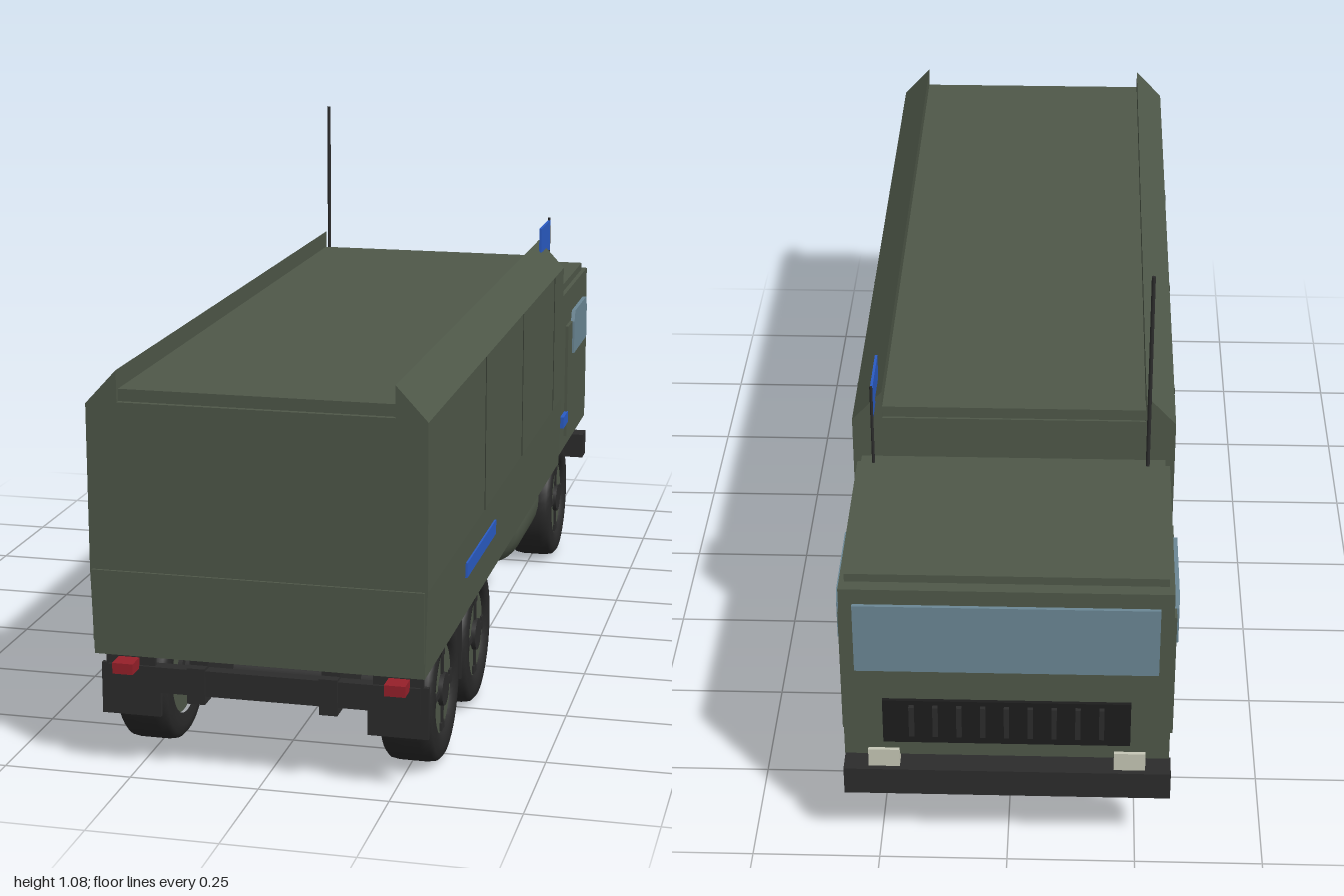
import * as THREE from 'three';

const mat = (name, color) => new THREE.MeshStandardMaterial({ name, color });

export function createModel() {
  const truck = new THREE.Group();
  truck.name = 'truck';

  const green = mat('olive green', 0x4f5849);
  const seamGreen = mat('seam green', 0x373d33);
  const dark = mat('chassis black', 0x2c2c2c);
  const tyreMat = mat('tyre rubber', 0x292929);
  const black = mat('grille black', 0x1d1d1d);
  const blue = mat('marking blue', 0x2a5bc4);
  const glass = mat('window glass', 0x6b8795);
  const red = mat('tail lamp red', 0x96202a);
  const cream = mat('headlamp cream', 0xc6c7b6);

  const add = (name, geometry, material, parent = truck) => {
    const m = new THREE.Mesh(geometry, material);
    m.name = name;
    parent.add(m);
    return m;
  };
  // box given by its minimum and maximum on each axis
  const box = (name, material, x0, x1, y0, y1, z0, z1, parent = truck) => {
    const m = add(name, new THREE.BoxGeometry(x1 - x0, y1 - y0, z1 - z0), material, parent);
    m.position.set((x0 + x1) / 2, (y0 + y1) / 2, (z0 + z1) / 2);
    return m;
  };
  // the same box on both sides of the truck
  const pair = (name, material, x0, x1, ...rest) => {
    box(name, material, x0, x1, ...rest);
    box(name, material, -x1, -x0, ...rest);
  };
  const polygon = pts => new THREE.Shape(pts.map(p => new THREE.Vector2(...p)));
  const extrude = (shape, depth) =>
    new THREE.ExtrudeGeometry(shape, { depth, bevelEnabled: false });

  // cargo body: one cross-section with raised, bevelled roof edges
  const half = [[0.315, 0.24], [0.32, 0.405], [0.32, 0.72], [0.26, 0.785], [0.26, 0.725]];
  const section = [...half, ...half.map(([x, y]) => [-x, y]).reverse()];
  add('cargoBody', extrude(polygon(section), 1.53), green).position.z = -0.535;
  box('cargoRoof', green, -0.26, 0.26, 0.72, 0.748, -0.53, 0.985);
  box('tailgate', green, -0.315, 0.315, 0.27, 0.405, 0.99, 1.0);
  for (const z of [-0.4, 0.02, 0.45])
    pair('panelSeam', seamGreen, 0.319, 0.321, 0.405, 0.72, z - 0.002, z + 0.002);
  pair('bodyStripe', blue, 0.314, 0.322, 0.32, 0.35, 0.33, 0.635);
  pair('intakePlate', black, 0.25, 0.312, 0.25, 0.465, -0.546, -0.534);

  // cab
  box('cab', green, -0.31, 0.31, 0.25, 0.638, -0.985, -0.56);
  box('cabRoof', green, -0.3, 0.3, 0.638, 0.655, -0.96, -0.565);
  box('windscreen', glass, -0.285, 0.285, 0.455, 0.605, -0.992, -0.984);
  pair('door', green, 0.309, 0.317, 0.28, 0.555, -0.945, -0.645);
  pair('cabStripe', blue, 0.309, 0.319, 0.315, 0.343, -0.65, -0.583);
  const pane = polygon([[-0.915, 0.475], [-0.71, 0.475], [-0.71, 0.555],
    [-0.722, 0.58], [-0.903, 0.58], [-0.915, 0.555]].map(([z, y]) => [-z, y]));
  for (const x of [0.313, -0.322]) {
    const w = add('doorWindow', extrude(pane, 0.009), glass);
    w.rotation.y = Math.PI / 2;
    w.position.x = x;
  }

  // grille with upright slats, headlamps and bumper
  box('grille', black, -0.235, 0.235, 0.285, 0.385, -0.992, -0.984);
  for (let i = 0; i < 9; i++) {
    const x = -0.18 + i * 0.045;
    box('grilleSlat', dark, x - 0.005, x + 0.005, 0.305, 0.375, -1.0, -0.99);
  }
  pair('headlamp', cream, 0.205, 0.265, 0.225, 0.265, -0.992, -0.965);
  box('bumper', dark, -0.315, 0.315, 0.15, 0.21, -0.985, -0.935);
  pair('bumperBracket', dark, 0.11, 0.145, 0.155, 0.2, -0.94, -0.87);

  // chassis
  pair('chassisRail', dark, 0.11, 0.145, 0.145, 0.215, -0.88, 0.97);
  box('rearCrossMember', dark, -0.3, 0.3, 0.16, 0.21, 0.94, 0.965);
  for (const z of [-0.84, -0.3, 0.1, 0.6])
    box('crossMember', dark, -0.13, 0.13, 0.16, 0.205, z - 0.018, z + 0.018);
  pair('bodyMount', dark, 0.11, 0.145, 0.2, 0.245, -0.53, 0.95);
  pair('cabMount', dark, 0.11, 0.145, 0.2, 0.28, -0.6, -0.53);
  pair('mudFlap', dark, 0.2, 0.315, 0.11, 0.21, 0.95, 0.96);
  pair('mudFlapHanger', dark, 0.21, 0.305, 0.2, 0.245, 0.95, 0.96);
  pair('middleFlap', dark, 0.205, 0.31, 0.11, 0.24, 0.625, 0.631);
  pair('tailLamp', red, 0.24, 0.28, 0.204, 0.225, 0.955, 1.0);

  // rounded fuel tanks slung beneath the body
  const tankProfile = [[0, -0.125], [0.07, -0.125], [0.088, -0.117], [0.1, -0.095],
    [0.1, 0.095], [0.088, 0.117], [0.07, 0.125], [0, 0.125]].map(p => new THREE.Vector2(...p));
  const tankGeo = new THREE.LatheGeometry(tankProfile, 32);
  tankGeo.rotateX(Math.PI / 2).scale(0.82, 1, 1);
  for (const s of [-1, 1])
    add('fuelTank', tankGeo, green).position.set(s * 0.232, 0.23, -0.16);

  // wheels: lathed tyre, green disc, dark hub and four lugs, facing +x
  const tyreProfile = [[0.088, -0.048], [0.11, -0.052], [0.128, -0.05], [0.137, -0.042],
    [0.14, -0.025], [0.14, 0.025], [0.137, 0.042], [0.128, 0.05], [0.11, 0.052],
    [0.088, 0.048], [0.084, 0.03]].map(p => new THREE.Vector2(...p));
  const tyreGeo = new THREE.LatheGeometry(tyreProfile, 40).rotateZ(-Math.PI / 2);
  const discGeo = new THREE.CylinderGeometry(0.088, 0.088, 0.082, 32).rotateZ(-Math.PI / 2);
  const hubGeo = new THREE.CylinderGeometry(0.032, 0.036, 0.1, 20).rotateZ(-Math.PI / 2);
  const axleGeo = new THREE.CylinderGeometry(0.018, 0.018, 0.44, 14).rotateZ(Math.PI / 2);
  for (const z of [-0.585, 0.445, 0.77]) {
    add('axle', axleGeo, dark).position.set(0, 0.143, z);
    for (const s of [-1, 1]) {
      const wheel = new THREE.Group();
      wheel.name = 'wheel';
      add('tyre', tyreGeo, tyreMat, wheel);
      add('wheelDisc', discGeo, green, wheel);
      add('hub', hubGeo, dark, wheel);
      for (let i = 0; i < 4; i++) {
        const arm = new THREE.Group();
        arm.name = 'lug';
        arm.rotation.x = i * Math.PI / 2;
        box('lugBar', dark, 0.035, 0.045, 0.03, 0.068, -0.006, 0.006, arm);
        box('lugFoot', dark, 0.035, 0.045, 0.066, 0.082, -0.014, 0.014, arm);
        wheel.add(arm);
      }
      wheel.position.set(s * 0.258, 0.14, z);
      wheel.rotation.y = s > 0 ? 0 : Math.PI;
      truck.add(wheel);
    }
  }

  // antenna and flag
  const rod = (name, x, z, y0, y1, r) =>
    add(name, new THREE.CylinderGeometry(r, r, y1 - y0, 10), dark).position.set(x, (y0 + y1) / 2, z);
  rod('antenna', -0.265, -0.585, 0.65, 1.08, 0.004);
  rod('flagPole', 0.275, -0.588, 0.65, 0.83, 0.003);
  const flagShape = polygon([[0.46, 0.768], [0.5, 0.765], [0.588, 0.752],
    [0.588, 0.824], [0.46, 0.824]]);
  const flag = add('flag', extrude(flagShape, 0.005), blue);
  flag.rotation.y = Math.PI / 2;
  flag.position.x = 0.2725;

  return truck;
}
